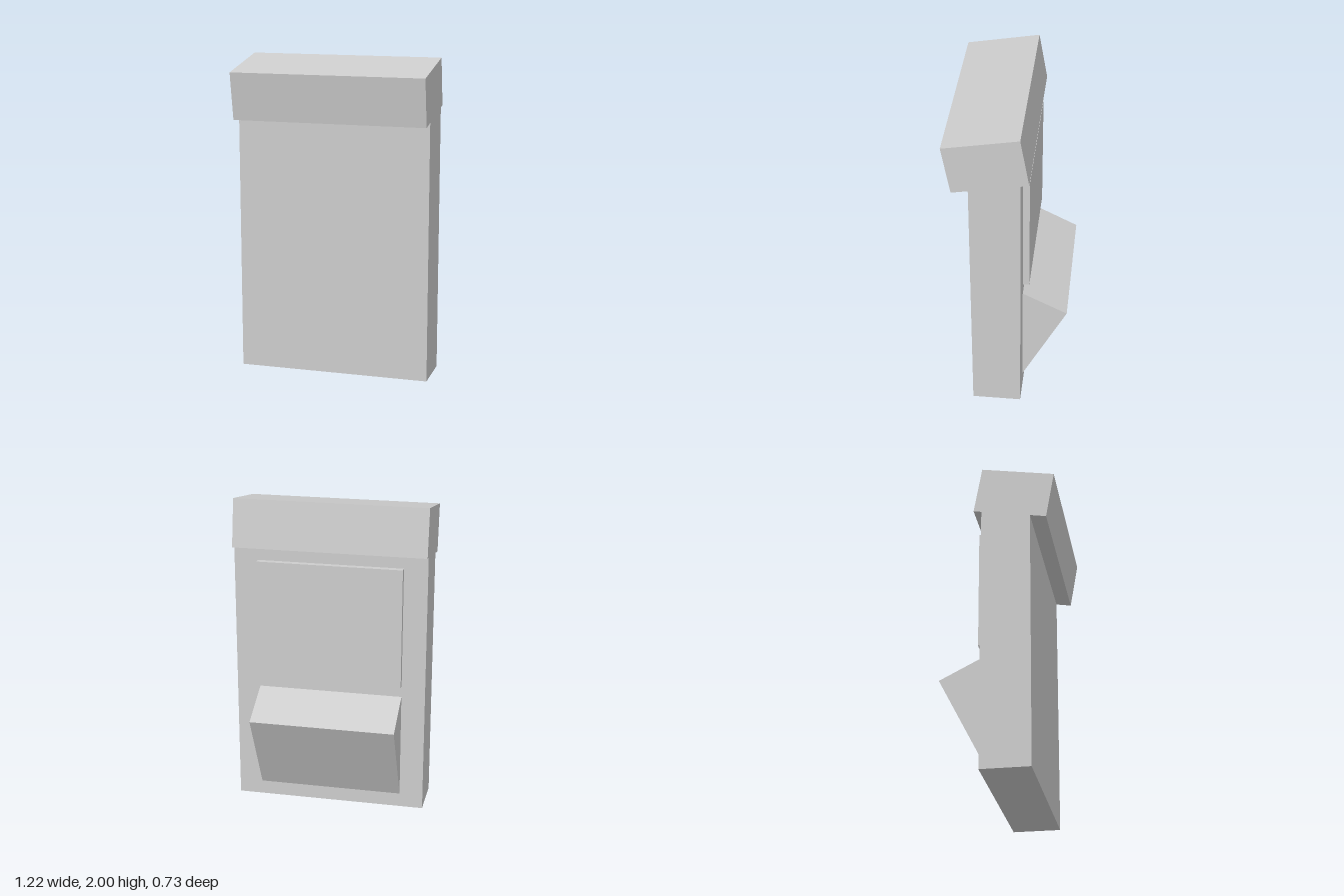
import * as THREE from 'three';

const grey = new THREE.MeshStandardMaterial({ color: 0xcccccc });
grey.name = 'plain grey';

// Extrudes a side profile of [z, y] points across x, centred on x = 0.
function profilePart(name, points, width) {
  const shape = new THREE.Shape(points.map(([z, y]) => new THREE.Vector2(z, y)));
  const geometry = new THREE.ExtrudeGeometry(shape, { depth: width, bevelEnabled: false });
  geometry.translate(0, 0, -width / 2);
  geometry.rotateY(-Math.PI / 2);
  const mesh = new THREE.Mesh(geometry, grey);
  mesh.name = name;
  return mesh;
}

export function createModel() {
  const group = new THREE.Group();
  group.name = 'cabinet';

  const fullWidth = 1.222;
  const panelWidth = 0.922;

  // Upright slab, cut at the top to meet the tilted header
  group.add(profilePart('body', [[0.215, 0], [0.215, 1.638], [-0.09, 1.692], [-0.09, 0]], fullWidth));

  // Header box tilted forward
  group.add(profilePart('header', [[0.315, 1.62], [0.367, 1.92], [-0.087, 2], [-0.139, 1.7]], fullWidth));

  // Thin panel on the back
  group.add(profilePart('screen', [[-0.09, 0.845], [-0.09, 1.615], [-0.13, 1.615], [-0.13, 0.845]], panelWidth));

  // Wedge-shaped console below the panel
  group.add(profilePart('console', [[-0.09, 0.09], [-0.09, 0.77], [-0.367, 0.63]], panelWidth));

  return group;
}
